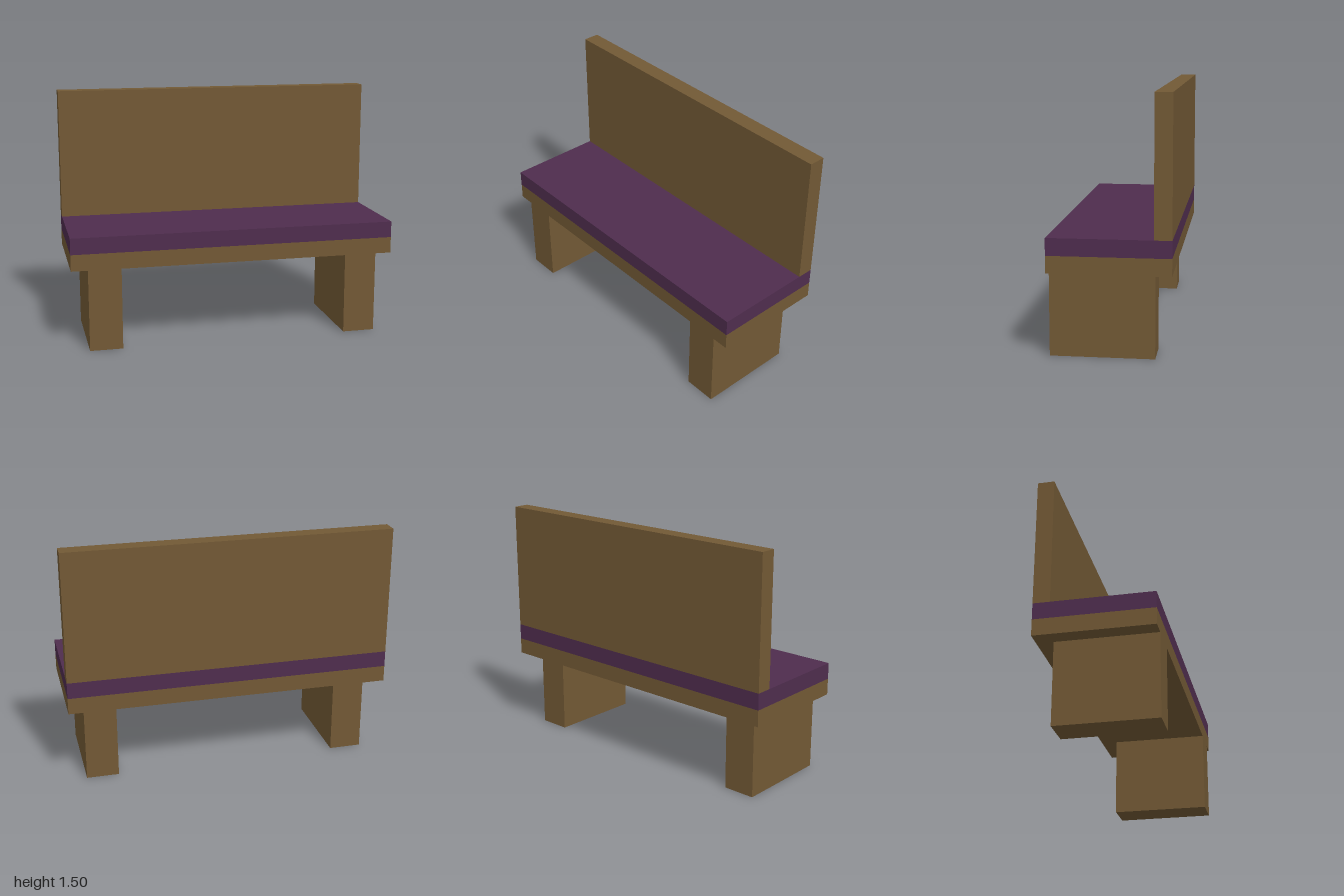
import * as THREE from 'three';

export function createModel() {
  const group = new THREE.Group();
  const wood = new THREE.MeshStandardMaterial({ name: 'brown wood', color: 0x725935 });
  const fabric = new THREE.MeshStandardMaterial({ name: 'purple fabric', color: 0x4f2d4e });

  // Adds a box given its size, centre x and z, and bottom height
  function addBox(name, material, [w, h, d], x, bottom, z) {
    const mesh = new THREE.Mesh(new THREE.BoxGeometry(w, h, d), material);
    mesh.name = name;
    mesh.position.set(x, bottom + h / 2, z);
    group.add(mesh);
  }

  // Slab legs, flush with the front of the seat
  for (const side of [-1, 1]) {
    addBox(side > 0 ? 'leftLeg' : 'rightLeg', wood, [0.2, 0.5, 0.6], side * 0.8, 0, 0.05);
  }

  // Seat board and cushion
  addBox('seatBase', wood, [2, 0.1, 0.7], 0, 0.5, 0);
  addBox('cushion', fabric, [2, 0.1, 0.7], 0, 0.6, 0);

  // Upright panel along the rear edge
  addBox('backrest', wood, [2, 0.8, 0.1], 0, 0.7, -0.3);

  return group;
}
